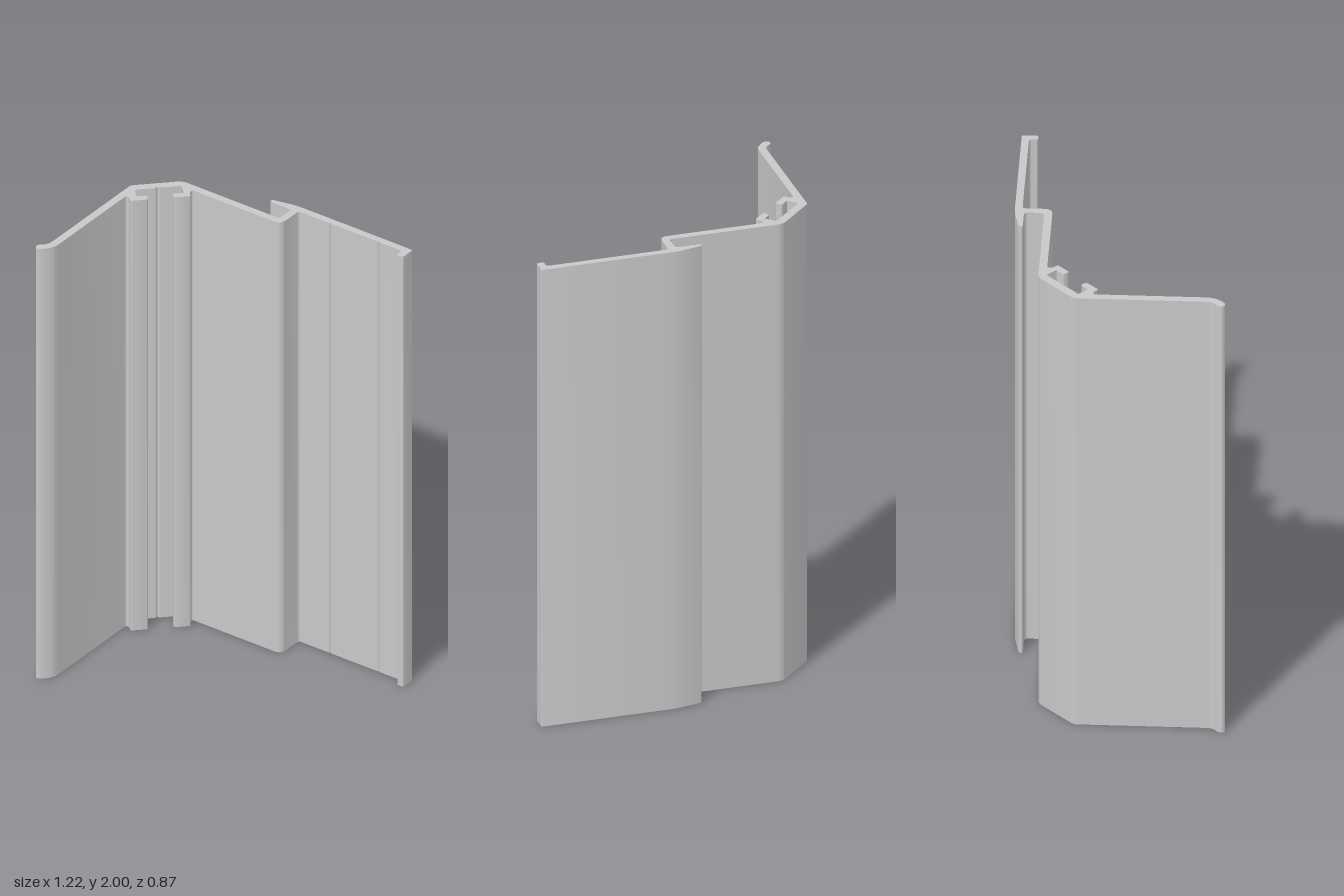
import * as THREE from 'three';
import { toCreasedNormals } from 'three/addons/utils/BufferGeometryUtils.js';

// Closed outline from corners [x, z, radius]; a radius rounds the corner
function roundedOutline(corners) {
  const pts = corners.map(([x, z]) => new THREE.Vector2(x, -z));
  const shape = new THREE.Shape();
  pts.forEach((p, i) => {
    const prev = pts[(i + pts.length - 1) % pts.length];
    const next = pts[(i + 1) % pts.length];
    const a = prev.clone().sub(p), b = next.clone().sub(p);
    const r = corners[i][2] || 0;
    const start = p.clone().add(a.clone().setLength(Math.min(r, a.length() * 0.48)));
    const end = p.clone().add(b.clone().setLength(Math.min(r, b.length() * 0.48)));
    if (i === 0) shape.moveTo(start.x, start.y);
    else shape.lineTo(start.x, start.y);
    if (r) shape.quadraticCurveTo(p.x, p.y, end.x, end.y);
  });
  shape.closePath();
  return shape;
}

// Small V groove in the underside of the upper flange
const groove = (x) => [[x + 0.004, -0.406], [x, -0.41], [x - 0.004, -0.406]];

export function createModel() {
  const group = new THREE.Group();
  group.name = 'trimProfile';
  const metal = new THREE.MeshStandardMaterial({ color: 0xc8c8c8 });
  metal.name = 'light grey metal';

  const corners = [
    // upper flange with end lip
    [0.61, -0.436, 0.006], [0.61, -0.37, 0.009], [0.58, -0.37, 0.009], [0.58, -0.406, 0.014],
    ...groove(0.464), ...groove(0.226),
    // step down to the lower flange
    [0.073, -0.406, 0.015], [0.073, -0.286, 0.034],
    // first hook
    [-0.36, -0.286, 0.012], [-0.36, -0.266, 0.008], [-0.339, -0.245, 0.007],
    [-0.387, -0.197, 0.007], [-0.408, -0.218, 0.007], [-0.377, -0.249],
    // inside of the chamfer with its locating notch
    [-0.414, -0.286], [-0.476, -0.224], [-0.486, -0.224], [-0.488, -0.211], [-0.547, -0.153],
    // second hook
    [-0.512, -0.118], [-0.482, -0.147, 0.007], [-0.461, -0.126, 0.007],
    [-0.51, -0.075, 0.007], [-0.53, -0.094, 0.008], [-0.547, -0.094, 0.01],
    // side flange with curled foot
    [-0.547, 0.353], [-0.549, 0.38, 0.02], [-0.562, 0.405, 0.02],
    [-0.588, 0.432, 0.014], [-0.605, 0.432, 0.01], [-0.614, 0.417, 0.01],
    [-0.607, 0.402, 0.01], [-0.58, 0.38, 0.03],
    // outer faces
    [-0.58, -0.17, 0.012], [-0.432, -0.318, 0.025], [0.042, -0.318, 0.015],
    // overhanging pointed lip
    [0.042, -0.398, 0.018], [-0.064, -0.398, 0.008], [-0.064, -0.414, 0.008], [0.045, -0.436, 0.025],
  ];

  const extruded = new THREE.ExtrudeGeometry(roundedOutline(corners), {
    depth: 2, bevelEnabled: false, curveSegments: 8,
  });
  extruded.rotateX(-Math.PI / 2);
  const profile = new THREE.Mesh(toCreasedNormals(extruded, 0.5), metal);
  profile.name = 'extrudedProfile';
  group.add(profile);
  return group;
}
